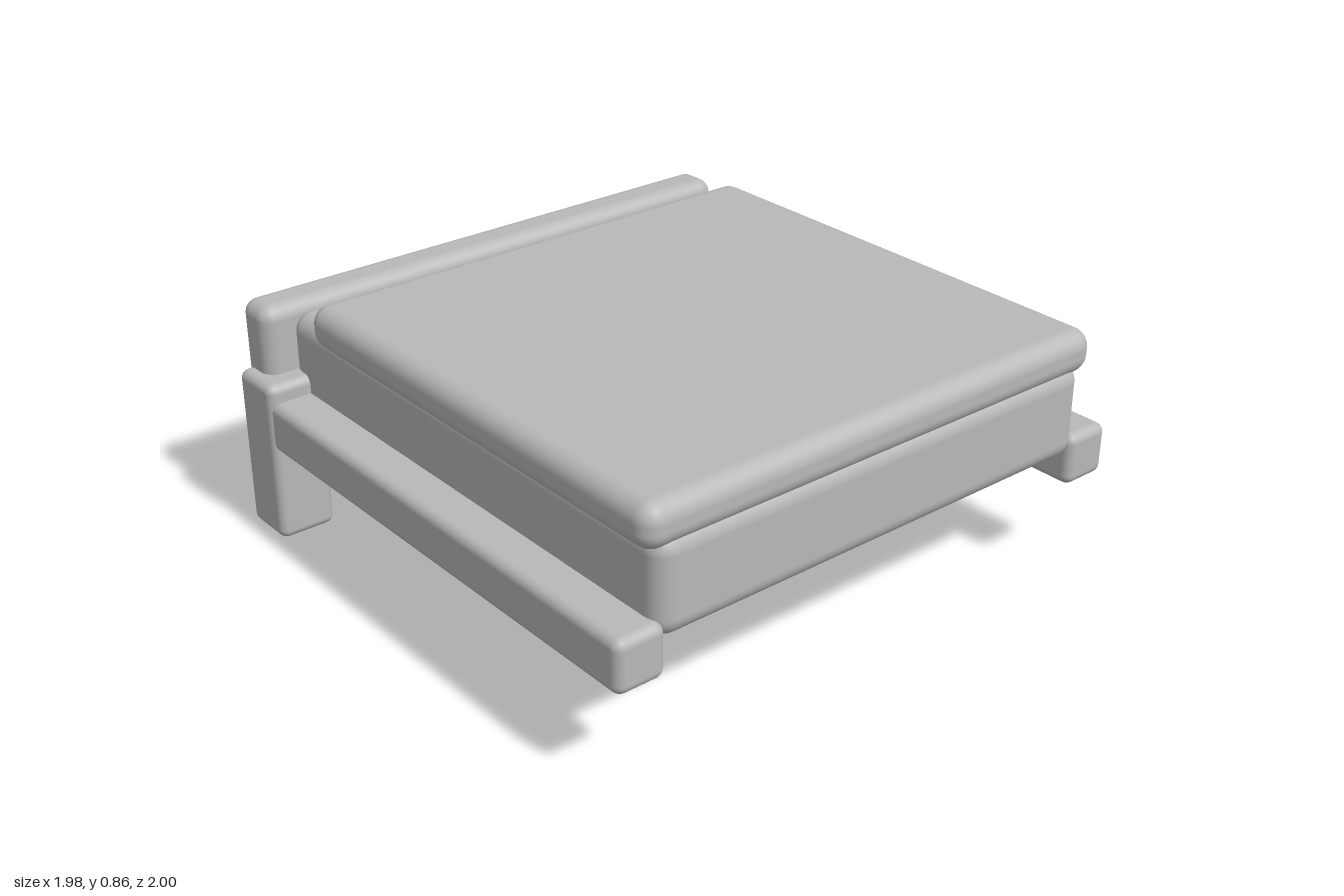
import * as THREE from 'three';
import { RoundedBoxGeometry } from 'three/addons/geometries/RoundedBoxGeometry.js';

export function createModel() {
  const bed = new THREE.Group();
  bed.name = 'bed';
  const grey = new THREE.MeshStandardMaterial({ color: 0xb8b8b8 });
  grey.name = 'plainGrey';

  // Softly rounded block given by its [min, max] extent on each axis
  function block(name, [x0, x1], [y0, y1], [z0, z1], radius) {
    const geometry = new RoundedBoxGeometry(x1 - x0, y1 - y0, z1 - z0, 5, radius);
    const mesh = new THREE.Mesh(geometry, grey);
    mesh.name = name;
    mesh.position.set((x0 + x1) / 2, (y0 + y1) / 2, (z0 + z1) / 2);
    bed.add(mesh);
  }

  // Back legs and side rails, mirrored
  for (const [side, s] of [['left', 1], ['right', -1]]) {
    const span = (a, b) => (s > 0 ? [a, b] : [-b, -a]);
    block(side + 'Leg', span(0.79, 0.99), [0, 0.56], [-0.97, -0.77], 0.03);
    block(side + 'Rail', span(0.81, 0.98), [0.325, 0.5], [-0.85, 1], 0.032);
  }

  // Headboard across the back
  block('headboard', [-0.945, 0.94], [0.285, 0.79], [-1, -0.845], 0.05);

  // Thick lower mattress and the overhanging top pad
  block('mattress', [-0.84, 0.835], [0.43, 0.755], [-0.88, 1], 0.065);
  block('topPad', [-0.88, 0.875], [0.71, 0.855], [-0.68, 1], 0.06);

  return bed;
}
